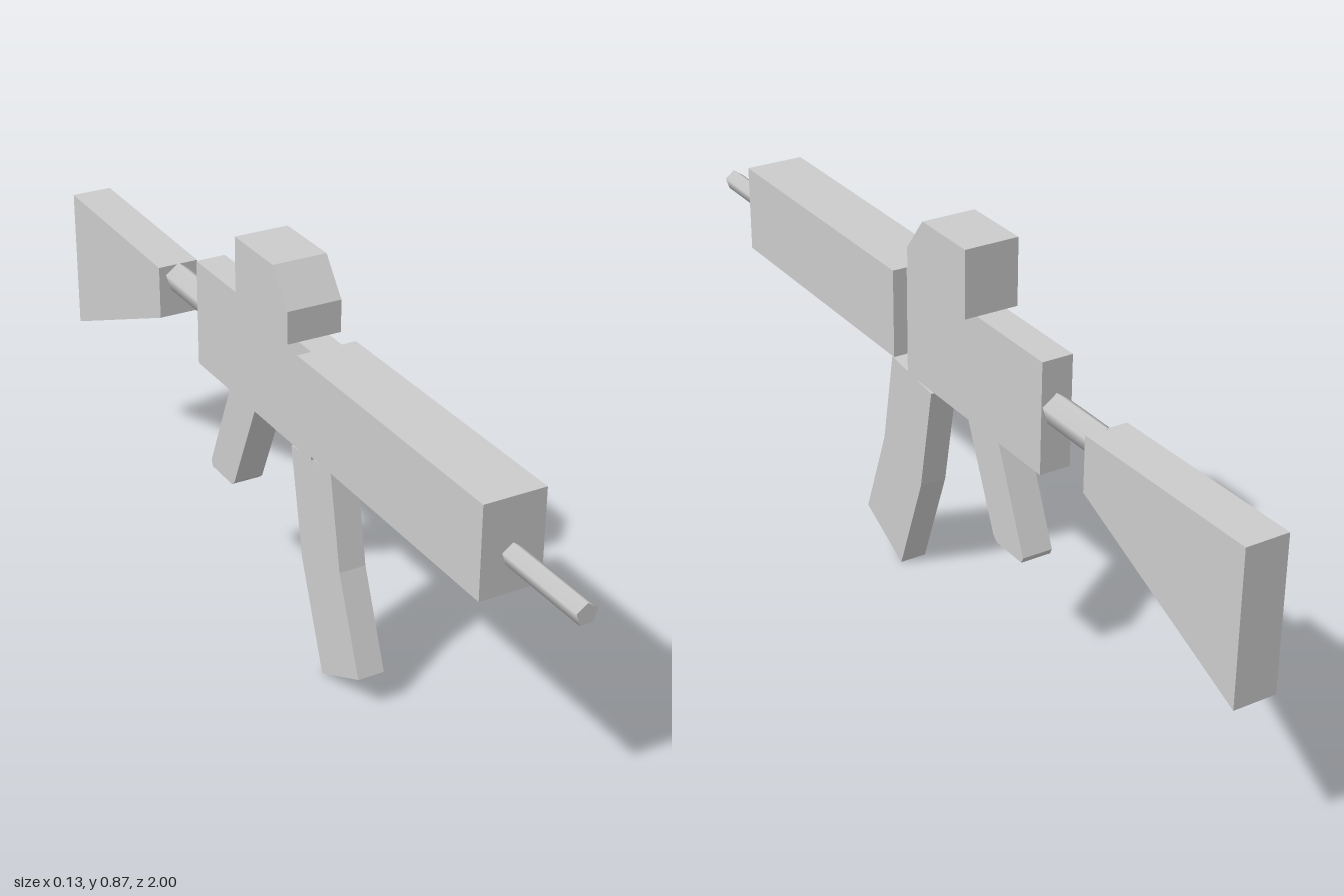
import * as THREE from 'three';

const grey = new THREE.MeshStandardMaterial({ color: 0xcccccc });
grey.name = 'light grey';

// Side profile given as [z, y] points, extruded across x and centred at cx
function slab(name, width, points, cx = 0) {
  const shape = new THREE.Shape(points.map(([z, y]) => new THREE.Vector2(z, y)));
  const geo = new THREE.ExtrudeGeometry(shape, { depth: width, bevelEnabled: false });
  geo.translate(0, 0, -width / 2);
  geo.rotateY(-Math.PI / 2);
  geo.translate(cx, 0, 0);
  const mesh = new THREE.Mesh(geo, grey);
  mesh.name = name;
  return mesh;
}

// Five-sided rod along z with one corner pointing up
function rod(name, radius, y, z0, z1) {
  const geo = new THREE.CylinderGeometry(radius, radius, z1 - z0, 5);
  geo.rotateX(-Math.PI / 2);
  geo.translate(-0.001, y, (z0 + z1) / 2);
  const mesh = new THREE.Mesh(geo, grey);
  mesh.name = name;
  return mesh;
}

export function createModel() {
  const model = new THREE.Group();
  model.name = 'rifle';
  model.add(
    rod('barrel', 0.023, 0.614, 0.77, 1),
    slab('handguard', 0.132, [[0.125, 0.535], [0.78, 0.535], [0.78, 0.73], [0.125, 0.73]], -0.001),
    // Receiver and pistol grip share one outline
    slab('receiverAndGrip', 0.068, [
      [0.125, 0.73], [-0.375, 0.73], [-0.375, 0.49], [-0.228, 0.49],
      [-0.322, 0.275], [-0.316, 0.262], [-0.225, 0.262], [-0.213, 0.272],
      [-0.115, 0.49], [0.125, 0.49],
    ], -0.001),
    // Curved magazine in two straight segments
    slab('magazine', 0.06, [
      [0.195, 0.498], [0.035, 0.48], [0.08, 0.24],
      [0.168, 0.003], [0.315, 0.075], [0.235, 0.285],
    ]),
    // Sight block with sloped front
    slab('sight', 0.12, [[0.075, 0.73], [0.075, 0.8], [0.015, 0.876], [-0.145, 0.876], [-0.145, 0.73]]),
    rod('stockTube', 0.033, 0.624, -0.54, -0.37),
    slab('stock', 0.093, [[-0.535, 0.655], [-1, 0.663], [-1, 0.335], [-0.535, 0.535]], -0.002),
  );
  return model;
}
